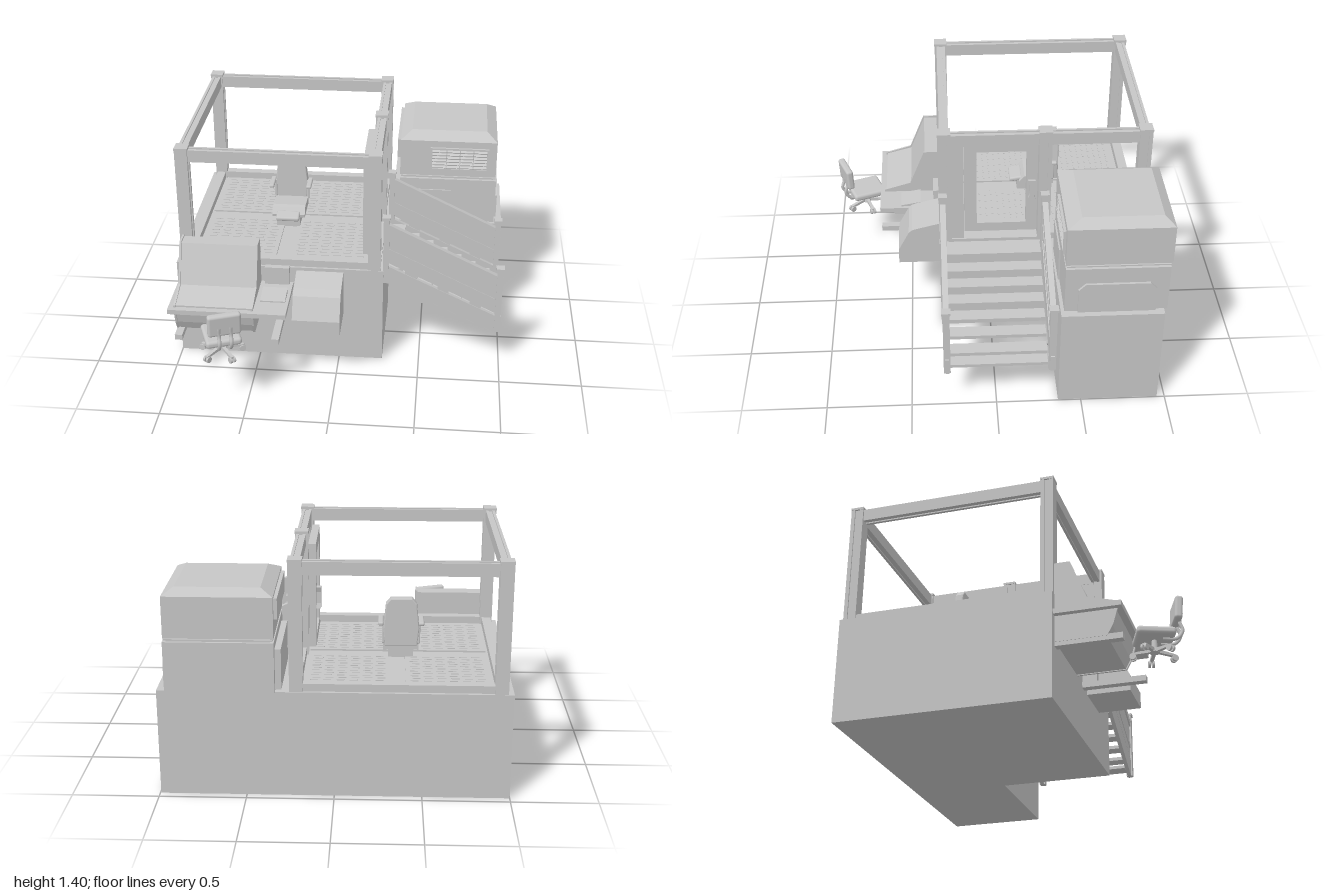
import * as THREE from 'three';
import { mergeGeometries } from 'three/addons/utils/BufferGeometryUtils.js';
import { RoundedBoxGeometry } from 'three/addons/geometries/RoundedBoxGeometry.js';

export function createModel() {
  const root = new THREE.Group();
  const grey = new THREE.MeshStandardMaterial({ color: 0xc6c6c6 });
  grey.name = 'light grey';

  const add = (name, geo, parent = root) => {
    const m = new THREE.Mesh(geo, grey);
    m.name = name;
    parent.add(m);
    return m;
  };
  const group = (name) => {
    const g = new THREE.Group();
    g.name = name;
    root.add(g);
    return g;
  };
  // box given by its limits on each axis
  const span = (x0, x1, y0, y1, z0, z1) =>
    new THREE.BoxGeometry(x1 - x0, y1 - y0, z1 - z0).translate((x0 + x1) / 2, (y0 + y1) / 2, (z0 + z1) / 2);
  const shape = (pts) => new THREE.Shape(pts.map((p) => new THREE.Vector2(...p)));
  const extrude = (s, depth) => new THREE.ExtrudeGeometry(s, { depth, bevelEnabled: false });
  // (z, y) outline swept from x0 to x1
  const sideProfile = (pts, x0, x1) => extrude(shape(pts), x1 - x0).rotateY(-Math.PI / 2).translate(x1, 0, 0);
  // (x, y) outline swept from z0 to z1
  const frontProfile = (pts, z0, z1) => extrude(shape(pts), z1 - z0).translate(0, 0, z0);
  // bar along +z: w by h section with a shallow groove in its top and bottom
  const slotted = (w, h, len) => {
    const a = w / 2, b = h / 2, c = w / 5, n = 0.008;
    return extrude(shape([[-a, -b], [-c, -b], [-c, -b + n], [c, -b + n], [c, -b], [a, -b],
      [a, b], [c, b], [c, b - n], [-c, b - n], [-c, b], [-a, b]]), len);
  };

  // L-shaped base
  const base = extrude(shape([[-1, -0.312], [0.27, -0.312], [0.27, 0.365], [0.995, 0.365], [0.995, 0.955], [-1, 0.955]]), 0.635);
  add('base', base.rotateX(-Math.PI / 2));

  // floor panels with raised grip bars
  const floor = group('floor');
  const grips = [];
  for (const x of [-0.89, -0.32]) for (const z of [-0.86, -0.29]) {
    add('floorPanel', span(x, x + 0.49, 0.63, 0.645, z, z + 0.49), floor);
    for (let i = 0; i < 6; i++) for (let j = 0; j < 12; j++) {
      const gx = x + 0.035 + i * 0.074 + (j % 2) * 0.012, gz = z + 0.035 + j * 0.038;
      grips.push(span(gx, gx + 0.045, 0.644, 0.649, gz - 0.005, gz + 0.005));
    }
  }
  add('gripBars', mergeGeometries(grips), floor);

  // cab frame: posts, caps, top beams and sills
  const cab = group('cabFrame');
  for (const [x, z] of [[-0.93, 0.272], [0.213, 0.272], [-0.93, -0.912], [0.213, -0.912], [0.213, -0.325]]) {
    add('post', slotted(0.076, 0.076, 0.755).rotateZ(Math.PI / 2).rotateX(-Math.PI / 2).translate(x, 0.63, z), cab);
    add('postCap', span(x - 0.04, x + 0.04, 1.385, 1.4, z - 0.04, z + 0.04), cab);
  }
  for (const z of [0.27, -0.91]) {
    add('topBeam', slotted(0.055, 0.075, 1.075).rotateY(Math.PI / 2).translate(-0.895, 1.348, z), cab);
    add('sill', span(-0.895, 0.18, 0.63, 0.68, z - 0.028, z + 0.028), cab);
  }
  for (const x of [-0.93, 0.215]) {
    add('sideBeam', slotted(0.055, 0.075, 1.11).translate(x, 1.348, -0.875), cab);
  }
  add('leftSill', span(-0.958, -0.902, 0.63, 0.68, -0.875, 0.235), cab);
  add('rearSill', span(0.187, 0.243, 0.63, 0.68, -0.875, -0.36), cab);
  add('threshold', span(0.18, 0.25, 0.63, 0.655, -0.29, 0.235), cab);
  add('doorJamb', span(0.19, 0.24, 0.63, 1.315, 0.16, 0.235), cab);

  // open-framed door with handle
  const door = group('door');
  const leaf = shape([[-0.29, 0.66], [0.155, 0.66], [0.155, 1.305], [-0.29, 1.305]]);
  leaf.holes.push(new THREE.Path([[-0.22, 0.72], [0.08, 0.72], [0.08, 1.23], [-0.22, 1.23]].map((p) => new THREE.Vector2(...p))));
  add('doorLeaf', extrude(leaf, 0.045).rotateY(-Math.PI / 2).translate(0.178, 0, 0), door);
  for (const [x0, x1] of [[0.105, 0.134], [0.177, 0.195]]) {
    add('doorHandle', sideProfile([[-0.275, 0.9], [-0.23, 0.9], [-0.24, 0.93], [-0.24, 1.0], [-0.23, 1.03],
      [-0.275, 1.03], [-0.265, 1.0], [-0.265, 0.93]], x0, x1), door);
  }

  // stairs: treads, then stringers and railings on both sides
  const stairs = group('stairs');
  add('landing', span(0.25, 0.38, 0.61, 0.635, -0.3, 0.27), stairs);
  for (let i = 0; i < 6; i++) {
    const x = 0.385 + i * 0.093, y = 0.575 - i * 0.048;
    add('tread', span(x, x + 0.085, y - 0.022, y, -0.3, 0.27), stairs);
  }
  add('bottomTread', span(0.88, 0.98, 0.265, 0.285, -0.3, 0.27), stairs);
  for (const z of [0.287, -0.325]) {
    add('stringer', frontProfile([[0.265, 0.55], [0.305, 0.55], [0.945, 0.235], [0.998, 0.235], [0.998, 0.34],
      [0.95, 0.352], [0.305, 0.66], [0.265, 0.63]], z - 0.012, z + 0.012), stairs);
    add('upperPost', span(0.267, 0.302, 0.55, 0.985, z - 0.02, z + 0.02), stairs);
    add('lowerPost', span(0.957, 0.992, 0.235, 0.67, z - 0.02, z + 0.02), stairs);
    add('upperPostCap', span(0.26, 0.308, 0.985, 1, z - 0.026, z + 0.026), stairs);
    add('lowerPostCap', span(0.95, 1, 0.67, 0.685, z - 0.026, z + 0.026), stairs);
    const slopeBar = (name, top, drop, t) => add(name, frontProfile([[0.3, top - drop], [0.96, top - drop - 0.32],
      [0.96, top - 0.32], [0.3, top]], z - t, z + t), stairs);
    slopeBar('railPanel', 0.94, 0.255, 0.008);
    slopeBar('topRail', 0.95, 0.04, 0.017);
    slopeBar('bottomRail', 0.785, 0.035, 0.012);
    for (const x of [0.4, 0.6, 0.8]) {
      const y = 0.61 - (x - 0.305) * 0.48;
      add('railBracket', span(x, x + 0.07, y, y + 0.12, z - 0.007, z + 0.007), stairs);
    }
  }

  // machine cabinet
  const unit = group('machineCabinet');
  add('lowerCabinet', span(0.33, 0.945, 0.63, 0.93, -0.975, -0.385), unit);
  add('neck', span(0.35, 0.925, 0.925, 0.955, -0.96, -0.405), unit);
  add('neckPlate', span(0.335, 0.94, 0.94, 0.948, -0.975, -0.39), unit);
  add('upperCabinet', span(0.33, 0.94, 0.955, 1.195, -0.983, -0.385), unit);
  const roof = span(0.33, 0.94, 1.195, 1.235, -0.983, -0.385);
  const rp = roof.attributes.position;
  for (let i = 0; i < rp.count; i++) {
    if (rp.getY(i) < 1.21) continue;
    rp.setX(i, rp.getX(i) < 0.6 ? 0.4 : 0.875);
    rp.setZ(i, rp.getZ(i) < -0.7 ? -0.925 : -0.47);
  }
  roof.computeVertexNormals();
  add('bevelledRoof', roof, unit);
  add('sidePanel', sideProfile([[-0.905, 0.635], [-0.46, 0.635], [-0.46, 0.79], [-0.5, 0.83], [-0.865, 0.83], [-0.905, 0.79]], 0.944, 0.96), unit);
  add('frontPanel', frontProfile([[0.36, 0.64], [0.66, 0.64], [0.66, 0.855], [0.36, 0.855]], -0.386, -0.376), unit);
  add('innerSidePanel', span(0.31, 0.331, 1.06, 1.18, -0.95, -0.42), unit);
  add('lowerInnerPanel', span(0.295, 0.331, 0.64, 0.88, -0.93, -0.45), unit);
  // grille
  const grille = group('grille');
  for (const [a, b, c, d] of [[0.52, 0.89, 1.14, 1.152], [0.52, 0.89, 0.998, 1.01], [0.52, 0.532, 1.01, 1.14], [0.878, 0.89, 1.01, 1.14]]) {
    add('grilleFrame', span(a, b, c, d, -0.386, -0.37), grille);
  }
  for (let i = 0; i < 6; i++) {
    add('slat', new THREE.BoxGeometry(0.35, 0.005, 0.02).rotateX(0.5).translate(0.705, 1.021 + i * 0.0215, -0.38), grille);
  }
  for (const x of [0.62, 0.705, 0.79]) add('mullion', span(x, x + 0.006, 1.01, 1.14, -0.386, -0.372), grille);

  // control console on a bracketed table
  const desk = group('controlConsole');
  add('table', span(-0.985, -0.28, 0.5, 0.53, 0.31, 0.693), desk);
  add('consoleBody', sideProfile([[0.31, 0.35], [0.6, 0.35], [0.63, 0.41], [0.655, 0.5], [0.655, 0.54],
    [0.49, 0.585], [0.395, 0.82], [0.31, 0.82]], -0.94, -0.49), desk);
  for (const x of [-0.952, -0.49]) {
    add('consoleCheek', sideProfile([[0.31, 0.345], [0.605, 0.345], [0.64, 0.41], [0.665, 0.5], [0.665, 0.545],
      [0.495, 0.595], [0.4, 0.83], [0.31, 0.83]], x, x + 0.012), desk);
  }
  add('sideBox', span(-0.45, -0.3, 0.53, 0.645, 0.31, 0.345), desk);
  add('keypad', sideProfile([[0.43, 0.53], [0.555, 0.53], [0.555, 0.538], [0.43, 0.56]], -0.45, -0.3), desk);
  for (const x of [-0.95, -0.37]) {
    add('foot', span(x, x + 0.045, 0.32, 0.355, 0.31, 0.69), desk);
    add('leg', span(x + 0.005, x + 0.04, 0.355, 0.5, 0.31, 0.4), desk);
  }

  // wall cabinet with sloping lid
  add('wallCabinet', sideProfile([[0.31, 0.32], [0.573, 0.32], [0.573, 0.42], [0.505, 0.55], [0.485, 0.568],
    [0.46, 0.577], [0.31, 0.615]], -0.26, 0.027));

  // operator seat
  const seat = group('operatorSeat');
  seat.position.set(-0.375, 0.64, -0.3);
  const pad = (name, w, h, d, r, x, y, z, parent) => {
    const m = add(name, new RoundedBoxGeometry(w, h, d, 3, r), parent);
    m.position.set(x, y, z);
    return m;
  };
  add('pedestal', span(-0.075, 0.075, 0, 0.07, -0.1, 0.1), seat);
  add('cushion', sideProfile([[-0.13, 0.06], [0.085, 0.06], [0.088, 0.078], [0.055, 0.118], [0.03, 0.122], [-0.13, 0.112]], -0.105, 0.105), seat);
  pad('kneeCushion', 0.15, 0.03, 0.085, 0.012, 0, 0.078, 0.107, seat).rotation.x = 0.15;
  const back = add('backrest', new THREE.ExtrudeGeometry(shape([[-0.09, 0], [0.09, 0], [0.1, 0.1], [0.085, 0.25],
    [0.06, 0.28], [-0.06, 0.28], [-0.085, 0.25], [-0.1, 0.1]]), { depth: 0.035, bevelSize: 0.006, bevelThickness: 0.008, bevelSegments: 2 }), seat);
  back.position.set(0, 0.1, -0.152);
  for (const s of [-1, 1]) {
    pad('armrest', 0.032, 0.022, 0.14, 0.009, s * 0.12, 0.225, -0.08, seat);
    pad('armSupport', 0.016, 0.13, 0.03, 0.006, s * 0.105, 0.165, -0.12, seat);
  }

  // swivel chair facing the console
  const chair = group('swivelChair');
  chair.position.set(-0.645, 0.32, 0.8);
  chair.rotation.y = 0.36;
  pad('chairSeat', 0.21, 0.045, 0.22, 0.018, 0, 0.13, 0, chair);
  pad('chairBack', 0.195, 0.14, 0.045, 0.016, 0, 0.28, 0.13, chair).rotation.x = 0.06;
  for (const x of [-0.035, 0.035]) {
    const path = new THREE.CatmullRomCurve3([[x, 0.105, 0.04], [x, 0.11, 0.12], [x, 0.16, 0.155], [x, 0.21, 0.14], [x, 0.27, 0.15]].map((p) => new THREE.Vector3(...p)));
    add('backStrut', new THREE.TubeGeometry(path, 16, 0.011, 8), chair);
  }
  add('column', new THREE.CylinderGeometry(0.014, 0.02, 0.08, 16).translate(0, 0.075, 0), chair);
  add('hub', new THREE.CylinderGeometry(0.025, 0.03, 0.025, 16).translate(0, 0.045, 0), chair);
  for (let i = 0; i < 5; i++) {
    const arm = new THREE.Group();
    arm.name = 'chairLeg';
    arm.rotation.y = (i * Math.PI * 2) / 5;
    chair.add(arm);
    add('spoke', frontProfile([[0, 0.035], [0.13, 0.03], [0.13, 0.042], [0, 0.058]], -0.01, 0.01), arm);
    for (const z of [-0.011, 0.011]) {
      add('caster', new THREE.CylinderGeometry(0.019, 0.019, 0.013, 14).rotateX(Math.PI / 2).translate(0.122, 0.019, z), arm);
    }
  }
  return root;
}
